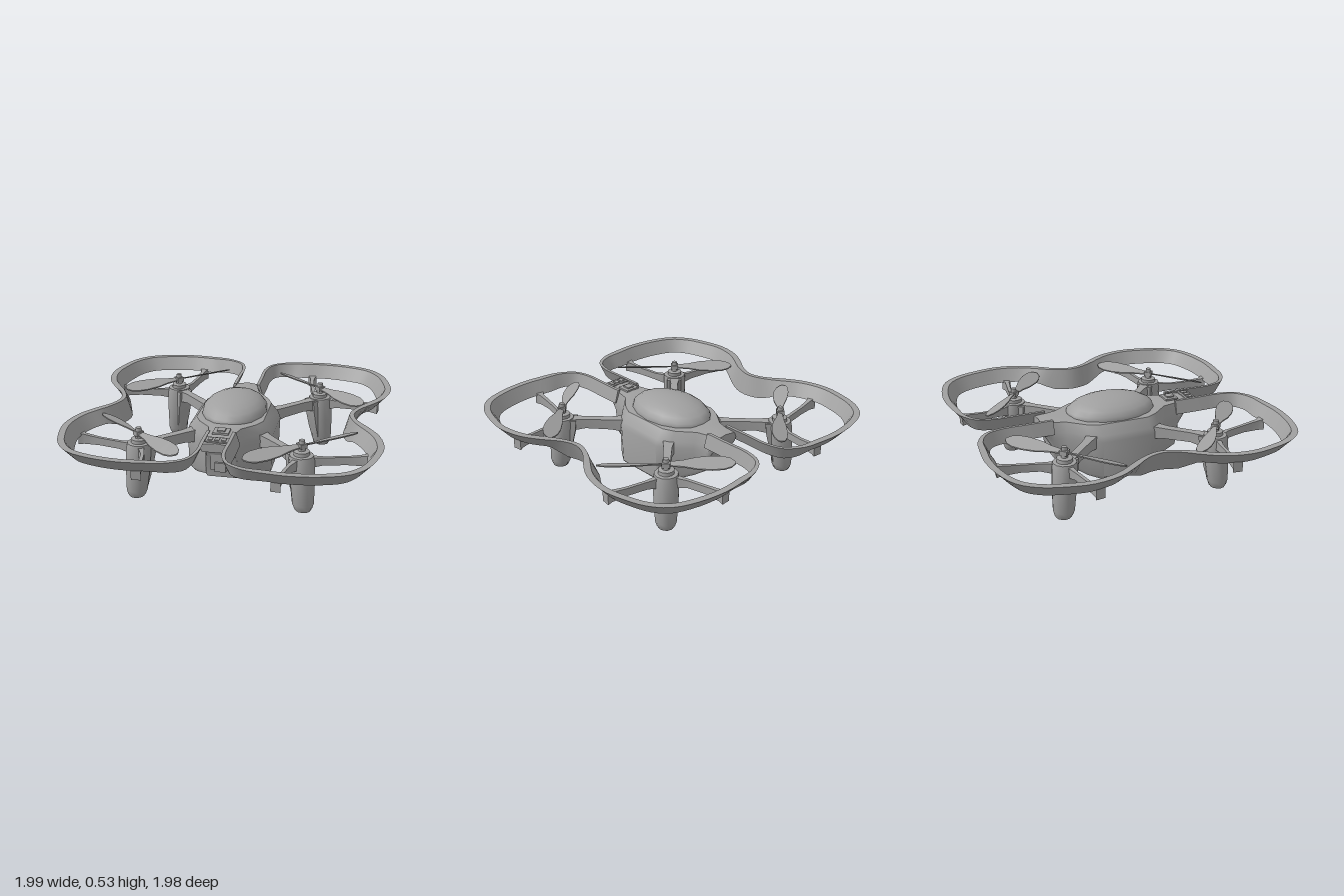
import * as THREE from 'three';
import { toCreasedNormals } from 'three/addons/utils/BufferGeometryUtils.js';

const grey = new THREE.MeshStandardMaterial({ color: 0xa0a0a0 });
grey.name = 'grey plastic';

const V = (x, y, z) => new THREE.Vector3(x, y, z);
const step = THREE.MathUtils.smoothstep;

function add(parent, name, geometry, x = 0, y = 0, z = 0) {
  const mesh = new THREE.Mesh(geometry, grey);
  mesh.name = name;
  mesh.position.set(x, y, z);
  parent.add(mesh);
  return mesh;
}

// Skin over closed cross-sections with capped ends, always facing outwards
function loft(sections, crease = 0.6) {
  const tris = [];
  const n = sections[0].length;
  for (let i = 0; i < sections.length - 1; i++) {
    const a = sections[i], b = sections[i + 1];
    for (let j = 0; j < n; j++) {
      const k = (j + 1) % n;
      tris.push([a[j], b[j], b[k]], [a[j], b[k], a[k]]);
    }
  }
  const cap = (s, flip) => {
    const c = s.reduce((m, p) => m.add(p), V(0, 0, 0)).divideScalar(n);
    for (let j = 0; j < n; j++) {
      const p = s[j], q = s[(j + 1) % n];
      tris.push(flip ? [c, q, p] : [c, p, q]);
    }
  };
  cap(sections[0], false);
  cap(sections[sections.length - 1], true);
  let volume = 0;
  for (const [a, b, c] of tris) volume += a.dot(b.clone().cross(c));
  const pts = [];
  for (const [a, b, c] of tris) pts.push(...(volume < 0 ? [a, c, b] : [a, b, c]));
  return toCreasedNormals(new THREE.BufferGeometry().setFromPoints(pts), crease);
}

// Rectangular bar along a path; each stop is [x, z, half width, y bottom, y top]
function bar(stops, sx, sz) {
  return loft(stops.map(([x, z, w, y0, y1], i) => {
    const a = stops[Math.max(i - 1, 0)], b = stops[Math.min(i + 1, stops.length - 1)];
    const len = Math.hypot(b[0] - a[0], b[1] - a[1]);
    const nx = (b[1] - a[1]) / len * w, nz = -(b[0] - a[0]) / len * w;
    return [V(x - nx, y0, z - nz), V(x + nx, y0, z + nz), V(x + nx, y1, z + nz), V(x - nx, y1, z - nz)]
      .map(p => V(p.x * sx, p.y, p.z * sz));
  }));
}

// Flared propeller guard that covers one side, pinched at the waist
function guard(sx) {
  const half = [[0.07, 0.43], [0.07, 0.6], [0.07, 0.76], [0.11, 0.88], [0.22, 0.955], [0.36, 0.98], [0.5, 0.99],
    [0.68, 0.965], [0.83, 0.905], [0.92, 0.8], [0.97, 0.66], [0.995, 0.5], [0.96, 0.33], [0.89, 0.21], [0.81, 0.1]];
  const pts = [...half, [0.78, 0], ...half.slice().reverse().map(([x, z]) => [x, -z])];
  const curve = new THREE.CatmullRomCurve3(pts.map(([x, z]) => V(x, 0, z)), false, 'centripetal');
  const sections = [];
  for (let i = 0; i <= 90; i++) {
    const p = curve.getPoint(i / 90), t = curve.getTangent(i / 90);
    const waist = 1 - step(Math.abs(p.z), 0.08, 0.2);
    const flare = (0.5 + 0.5 * step(p.x, 0.08, 0.35)) * (1 - 0.3 * waist);
    const low = 0.355 - 0.05 * waist;
    sections.push([[0, 0.443], [0.042, 0.443], [0.095, low], [0.078, low]].map(([o, y]) =>
      V(sx * (p.x + t.z * o * flare), y, p.z - t.x * o * flare)));
  }
  return loft(sections);
}

// Hull sections along z: [z, half width, y bottom, y top]
function hull() {
  const stops = [[-0.5, 0.1, 0.36, 0.43], [-0.445, 0.1, 0.27, 0.435], [-0.43, 0.1, 0.18, 0.435], [-0.35, 0.13, 0.125, 0.435],
    [-0.24, 0.235, 0.075, 0.43], [-0.16, 0.28, 0.05, 0.43], [0.17, 0.28, 0.05, 0.43], [0.24, 0.235, 0.065, 0.43],
    [0.34, 0.13, 0.1, 0.435], [0.43, 0.105, 0.13, 0.435], [0.45, 0.1, 0.27, 0.435], [0.5, 0.1, 0.35, 0.435], [0.6, 0.1, 0.37, 0.43]];
  return loft(stops.map(([z, w, b, t]) => {
    const s = Math.max(b + 0.03, 0.32), e = Math.max(s + 0.01, 0.36);
    const side = [[0.88, b], [0.97, b + 0.025], [1, s], [0.95, e], [0.78, t - 0.01]];
    const right = side.map(([x, y]) => V(x * w, y, z));
    const left = side.map(([x, y]) => V(-x * w, y, z)).reverse();
    return [V(0, b, z), ...right, V(0, t, z), ...left];
  }), 0.7);
}

// Two pitched blades with rounded tips
function propeller(sx, sz) {
  const dir = V(0.76, 0, -0.65).normalize(), across = V(0.65, 0, 0.76).normalize();
  const shape = [[0.012, 0.014], [0.1, 0.024], [0.18, 0.043], [0.27, 0.051], [0.34, 0.047], [0.385, 0.032], [0.41, 0.008]];
  const stops = [...shape.slice().reverse().map(([r, w]) => [-r, w]), ...shape];
  return loft(stops.map(([r, w]) => [[-1, -1], [1, -1], [1, 1], [-1, 1]].map(([u, v]) => {
    const p = dir.clone().multiplyScalar(r).addScaledVector(across, u * w);
    return V(p.x * sx, u * w * 0.35 * Math.sign(r) + v * 0.004, p.z * sz);
  })), 0.5);
}

// Motor pod leaning outwards towards its foot
function pod(sx, sz) {
  const profile = [[0, 0.003], [0.048, 0.003], [0.058, 0.02], [0.068, 0.05], [0.078, 0.2], [0.08, 0.33], [0.074, 0.36],
    [0.05, 0.362], [0.05, 0.385], [0.03, 0.39], [0, 0.39]].map(([x, y]) => new THREE.Vector2(x, y));
  const geo = new THREE.LatheGeometry(profile, 12);
  const pos = geo.attributes.position;
  for (let i = 0; i < pos.count; i++) {
    const lean = (0.36 - pos.getY(i)) * 0.06;
    pos.setX(i, pos.getX(i) + sx * lean);
    pos.setZ(i, pos.getZ(i) + sz * lean);
  }
  return toCreasedNormals(geo, 0.6);
}

// Tapered bracket running down the inner face of the pod
function bracket(sx, sz) {
  return loft([[0.35, 0.44, 0.035], [0.28, 0.445, 0.035], [0.14, 0.468, 0.03], [0.01, 0.495, 0.022]].map(([y, c, w]) =>
    [[-w, w], [w, -w], [w + 0.04, 0.04 - w], [0.04 - w, w + 0.04]].map(([dx, dz]) =>
      V(sx * (c + dx), y, sz * (c + dz)))));
}

export function createModel() {
  const model = new THREE.Group();
  model.name = 'quadcopter';

  add(model, 'hull', hull());

  // Canopy
  const dome = new THREE.SphereGeometry(1, 16, 6, 0, Math.PI * 2, 0, Math.PI / 2);
  dome.scale(0.212, 0.112, 0.305);
  add(model, 'canopy', dome, 0, 0.418, -0.005);

  // Nose details: camera, button and status lights
  add(model, 'cameraHousing', new THREE.BoxGeometry(0.13, 0.2, 0.06), 0, 0.29, 0.435);
  add(model, 'cameraLens', new THREE.BoxGeometry(0.07, 0.06, 0.02), 0, 0.215, 0.47);
  add(model, 'buttonBase', new THREE.BoxGeometry(0.1, 0.012, 0.09), 0, 0.438, 0.425);
  add(model, 'button', new THREE.BoxGeometry(0.05, 0.012, 0.05), 0, 0.447, 0.425);
  add(model, 'lightPanel', new THREE.BoxGeometry(0.14, 0.008, 0.07), 0, 0.434, 0.555);
  for (const x of [-0.042, 0, 0.042]) {
    add(model, 'statusLight', new THREE.BoxGeometry(0.028, 0.008, 0.042), x, 0.439, 0.555);
  }
  add(model, 'rearPort', new THREE.BoxGeometry(0.09, 0.07, 0.012), 0, 0.235, -0.437);

  for (const sx of [1, -1]) {
    add(model, 'propellerGuard', guard(sx));

    for (const sz of [1, -1]) {
      const rotor = new THREE.Group();
      rotor.name = 'rotorUnit';
      model.add(rotor);
      const x = 0.507 * sx, z = 0.507 * sz;

      add(rotor, 'motorPod', pod(sx, sz), x, 0, z);
      add(rotor, 'podBracket', bracket(sx, sz));
      add(rotor, 'spindle', new THREE.CylinderGeometry(0.018, 0.024, 0.075, 8), x, 0.42, z);
      add(rotor, 'propellerHub', new THREE.BoxGeometry(0.05, 0.03, 0.05), x, 0.42, z).rotation.y = Math.PI / 4;
      add(rotor, 'propeller', propeller(sx, sz), x, 0.42, z);

      // Arm to the hull and two curved struts to the guard
      add(rotor, 'arm', bar([[0.2, 0.2, 0.04, 0.27, 0.36], [0.28, 0.275, 0.027, 0.285, 0.355],
        [0.4, 0.395, 0.024, 0.29, 0.355], [0.49, 0.485, 0.04, 0.27, 0.355]], sx, sz));
      add(rotor, 'sideStrut', bar([[0.55, 0.5, 0.02, 0.28, 0.35], [0.64, 0.482, 0.011, 0.295, 0.345],
        [0.78, 0.462, 0.011, 0.3, 0.35], [0.88, 0.445, 0.014, 0.295, 0.36], [0.915, 0.44, 0.03, 0.295, 0.37]], sx, sz));
      add(rotor, 'endStrut', bar([[0.485, 0.55, 0.02, 0.28, 0.35], [0.447, 0.64, 0.011, 0.295, 0.345],
        [0.425, 0.76, 0.011, 0.3, 0.35], [0.413, 0.87, 0.014, 0.295, 0.36], [0.41, 0.905, 0.03, 0.295, 0.37]], sx, sz));
    }
  }
  return model;
}
